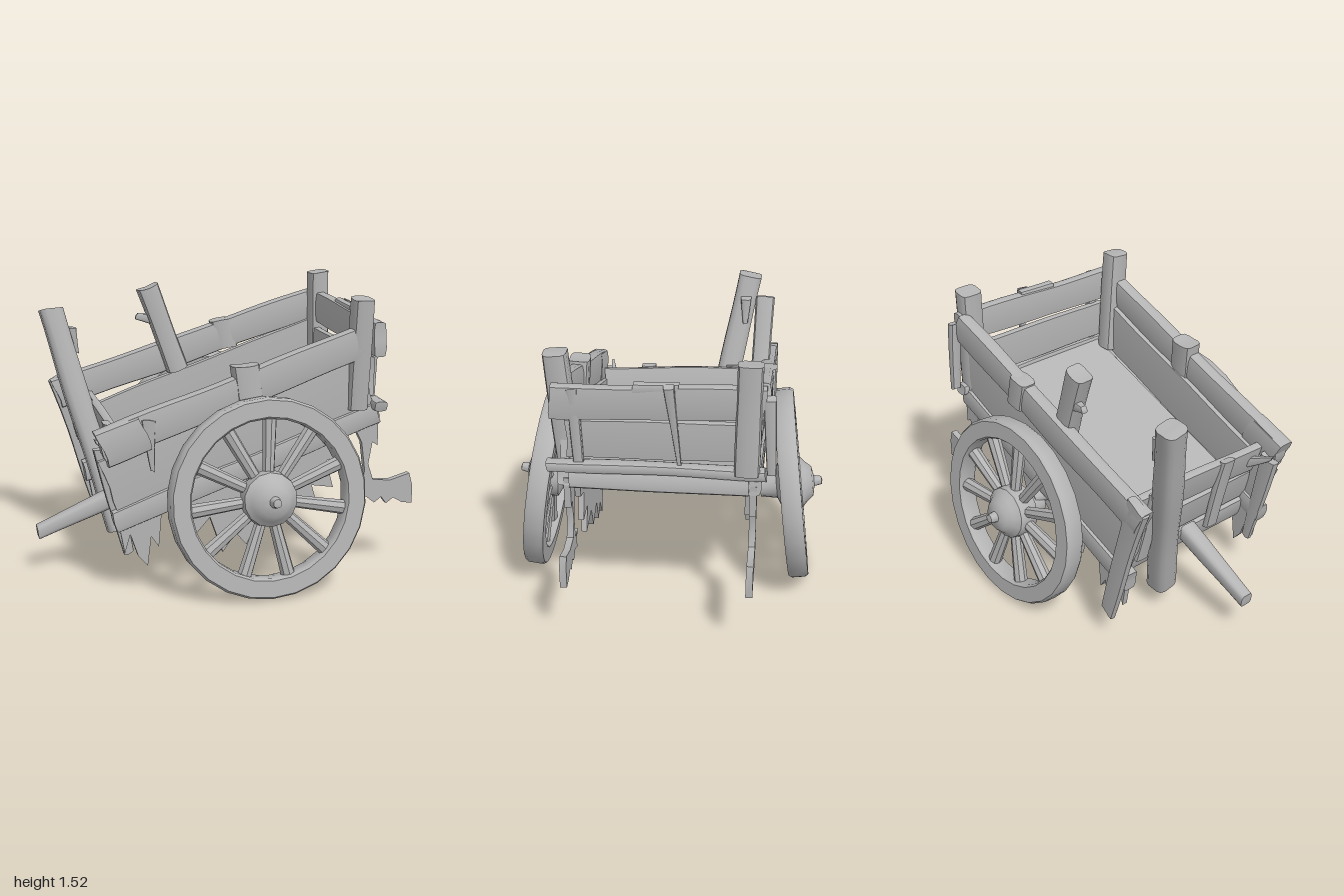
import * as THREE from 'three';
import { toCreasedNormals } from 'three/addons/utils/BufferGeometryUtils.js';

const wood = new THREE.MeshStandardMaterial({ color: 0xb4b4b4 });
wood.name = 'weathered wood';

export function createModel() {
  const cart = new THREE.Group();
  cart.name = 'brokenCart';
  let seed = 1;

  const add = (name, geo, parent = cart) => {
    const m = new THREE.Mesh(toCreasedNormals(geo, 0.7), wood);
    m.name = name;
    parent.add(m);
    return m;
  };

  // Worn timber from point a to b: chamfered, slightly wavy; w is depth, h is height, lean tips its top in x
  const beam = (name, a, b, w, h, wave = 0.03, taper = 1, lean = 0) => {
    const A = new THREE.Vector3(...a), B = new THREE.Vector3(...b);
    const X = B.clone().sub(A), L = X.length();
    X.normalize();
    const up = Math.abs(X.y) > 0.75 ? new THREE.Vector3(-1, 0, 0) : new THREE.Vector3(lean, 1, 0);
    const Y = up.addScaledVector(X, -up.dot(X)).normalize();
    const Z = X.clone().cross(Y);
    const g = new THREE.BoxGeometry(L, h, w, Math.max(4, Math.round(L * 10)), 4, 4);
    const p = g.attributes.position, s = seed++ * 1.7;
    const c = Math.min(w, h) * 0.08;
    for (let i = 0; i < p.count; i++) {
      let x = p.getX(i), y = p.getY(i), z = p.getZ(i);
      if (Math.abs(y) > h * 0.49 && Math.abs(z) > w * 0.49) {
        y -= Math.sign(y) * c;
        z -= Math.sign(z) * c;
      }
      const t = x / L + 0.5;
      const k = (1 + wave * Math.sin(x * 9 + s)) * (1 + (taper - 1) * t);
      if (Math.abs(x) > L * 0.49) x += wave * 0.3 * Math.sin(y * 25 + s);
      p.setXYZ(i, x, y * k + wave * 0.1 * Math.sin(x * 6 + s * 2), z * k);
    }
    g.applyMatrix4(new THREE.Matrix4().makeBasis(X, Y, Z).setPosition(A.add(B).multiplyScalar(0.5)));
    return add(name, g);
  };

  // Jagged flat piece in the side plane
  const ragged = (name, pts, z, depth = 0.03) => {
    const shape = new THREE.Shape(pts.map(([x, y]) => new THREE.Vector2(x, y)));
    const g = new THREE.ExtrudeGeometry(shape, { depth, bevelEnabled: false });
    g.translate(0, 0, z - depth / 2);
    return add(name, g);
  };

  // Wheels: rim, spokes and hub, leaning in at the top
  const lathe = (pts, n) => new THREE.LatheGeometry(pts.map(([r, t]) => new THREE.Vector2(r, t)), n).rotateX(Math.PI / 2);
  for (const back of [false, true]) {
    const side = new THREE.Group();
    side.name = back ? 'backWheel' : 'frontWheel';
    side.position.set(back ? 0.132 : 0.105, 0.522, 0);
    side.rotation.y = back ? Math.PI + 0.04 : 0;
    cart.add(side);
    const wheel = new THREE.Group();
    wheel.position.z = 0.665;
    wheel.rotation.x = -0.12;
    side.add(wheel);
    add('rim', lathe([[0.412, -0.04], [0.422, -0.053], [0.508, -0.053], [0.52, -0.035], [0.52, 0.035],
      [0.508, 0.053], [0.422, 0.053], [0.412, 0.04], [0.412, -0.04]], 26), wheel);
    add('hub', lathe([[0, -0.17], [0.065, -0.17], [0.08, -0.08], [0.13, -0.06], [0.148, 0.0], [0.14, 0.055],
      [0.11, 0.08], [0.08, 0.115], [0.03, 0.125], [0.022, 0.165], [0, 0.17]], 14), wheel);
    for (let i = 0; i < 11; i++) {
      const spoke = add('spoke', new THREE.CylinderGeometry(0.038, 0.03, 0.33, 8).translate(0, 0.26, 0), wheel);
      spoke.rotation.z = (i / 11) * Math.PI * 2 - 0.05;
    }
  }
  add('axle', new THREE.CylinderGeometry(0.045, 0.045, 1.1, 12).rotateX(Math.PI / 2).translate(0.1, 0.55, 0));
  beam('axleCollar', [0.1, 0.57, 0.32], [0.1, 0.57, 0.36], 0.08, 0.08);

  // Sloping floor and its frame
  beam('floor', [-0.53, 0.525, -0.015], [0.74, 0.93, -0.015], 0.88, 0.03, 0);
  for (const z of [0.465, -0.475]) beam('sideRail', [-0.65, 0.4, z], [0.77, 0.885, z], 0.075, 0.12);
  beam('highCrossBeam', [0.75, 0.865, 0.44], [0.75, 0.865, -0.45], 0.09, 0.11, 0.01, 1, -0.3);
  beam('highSill', [0.76, 0.935, 0.54], [0.76, 0.935, -0.54], 0.07, 0.055, 0.04);

  // Front and back walls
  beam('frontUpperPlank', [-0.72, 0.81, 0.505], [0.66, 1.275, 0.505], 0.08, 0.17);
  beam('frontLowerPlank', [-0.68, 0.585, 0.465], [0.7, 1.06, 0.465], 0.045, 0.3, 0.02);
  beam('backUpperPlank', [-0.79, 0.86, -0.515], [0.75, 1.33, -0.505], 0.08, 0.17);
  beam('backLowerPlank', [-0.68, 0.61, -0.475], [0.74, 1.09, -0.475], 0.045, 0.3, 0.02);

  // High end wall
  beam('highTopPlank', [0.755, 1.28, 0.52], [0.755, 1.315, -0.52], 0.065, 0.175, 0.03);
  beam('highLowerPlank', [0.735, 1.075, 0.45], [0.735, 1.095, -0.45], 0.045, 0.21, 0.02);
  beam('highBatten', [0.79, 1.4, -0.06], [0.765, 0.95, -0.11], 0.05, 0.035, 0.05, 0.4);
  beam('highKnot', [0.76, 1.37, 0.1], [0.76, 1.385, -0.12], 0.05, 0.06, 0.06);
  for (const z of [0.41, -0.54]) beam('cornerBatten', [0.765, 1.36, z], [0.765, 0.96, z - 0.02], 0.06, 0.05, 0.06, 0.8);

  // Low end wall, leaning out at the top
  beam('lowCrossBeam', [-0.48, 0.39, 0.44], [-0.48, 0.39, -0.46], 0.08, 0.14, 0.02, 1, -0.3);
  beam('lowMiddlePlank', [-0.53, 0.56, 0.44], [-0.53, 0.56, -0.46], 0.045, 0.2, 0.02, 1, -0.3);
  beam('lowTopPlank', [-0.585, 0.75, 0.46], [-0.59, 0.79, -0.47], 0.05, 0.18, 0.03, 1, -0.3);
  for (const z of [0.2, -0.3]) beam('lowBatten', [-0.64, 0.86, z], [-0.54, 0.4, z - 0.02], 0.08, 0.04, 0.05);
  beam('lowSplinter', [-0.6, 0.75, 0.4], [-0.74, 0.82, 0.43], 0.05, 0.06, 0.06, 0.3);

  // Posts
  beam('frontCornerPost', [0.655, 0.91, 0.455], [0.655, 1.495, 0.505], 0.12, 0.11, 0.02);
  beam('backCornerPost', [0.755, 0.93, -0.44], [0.755, 1.515, -0.445], 0.125, 0.11, 0.02);
  beam('backMiddlePost', [-0.09, 0.98, -0.465], [-0.265, 1.46, -0.48], 0.1, 0.12);
  beam('leaningPost', [-0.51, 0.14, -0.14], [-0.83, 1.37, -0.38], 0.13, 0.13);
  beam('postSplinter', [-0.2, 1.27, -0.48], [-0.31, 1.29, -0.5], 0.06, 0.07, 0.05, 0.5);
  beam('postSplinter', [-0.72, 1.26, -0.36], [-0.69, 1.12, -0.36], 0.06, 0.06, 0.05, 0.5);

  // Straps and broken pieces on the walls
  beam('frontStrap', [0.05, 0.98, 0.505], [0.025, 1.185, 0.495], 0.11, 0.14, 0.02);
  beam('backStrap', [0.22, 1.08, -0.515], [0.18, 1.245, -0.515], 0.095, 0.12, 0.02);
  beam('frontEndCap', [-0.72, 0.8, 0.51], [-0.5, 0.875, 0.51], 0.1, 0.19);
  beam('frontSplinter', [-0.48, 0.93, 0.535], [-0.46, 0.66, 0.53], 0.04, 0.07, 0.05, 0.3);
  beam('backCornerBoard', [-0.77, 0.96, -0.53], [-0.54, 0.17, -0.54], 0.05, 0.13, 0.04, 0.7);
  beam('frontCornerBoard', [-0.7, 0.8, 0.45], [-0.58, 0.22, 0.44], 0.05, 0.11, 0.04, 0.5);
  beam('loosePlank', [-0.52, 0.42, 0.03], [-0.99, 0.225, 0.03], 0.1, 0.1, 0.03, 0.75);

  // Torn pieces hanging below the frame
  ragged('frontTornBoard', [[-0.3, 0.5], [-0.22, 0.28], [-0.14, 0.37], [-0.07, 0.17], [0, 0.27], [0.06, 0.2], [0.12, 0.34],
    [0.24, 0.27], [0.3, 0.4], [0.46, 0.36], [0.42, 0.5], [0.54, 0.48], [0.5, 0.63], [0.6, 0.66], [0.63, 0.82]], 0.43);
  ragged('backTornBoard', [[-0.25, 0.52], [-0.2, 0.3], [-0.13, 0.42], [-0.05, 0.25], [0.02, 0.42], [0.12, 0.5],
    [0.25, 0.42], [0.3, 0.58], [0.45, 0.48], [0.5, 0.66], [0.6, 0.6], [0.63, 0.83]], -0.445);
  for (const z of [0.45, -0.475]) {
    ragged('brokenShaft', [[0.64, 0.82], [0.69, 0.72], [0.71, 0.57], [0.7, 0.48], [0.63, 0.485], [0.68, 0.44], [0.65, 0.39],
      [0.72, 0.42], [0.77, 0.38], [0.81, 0.41], [0.84, 0.37], [0.88, 0.4], [0.93, 0.37], [0.99, 0.36], [0.99, 0.46], [0.97, 0.53],
      [0.86, 0.5], [0.76, 0.51], [0.73, 0.6], [0.75, 0.72], [0.78, 0.7], [0.78, 0.87]], z, 0.035);
    ragged('lowShreds', [[-0.63, 0.39], [-0.6, 0.22], [-0.57, 0.32], [-0.53, 0.2], [-0.48, 0.14], [-0.46, 0.3], [-0.42, 0.24],
      [-0.4, 0.47]], z, 0.03);
  }
  return cart;
}
